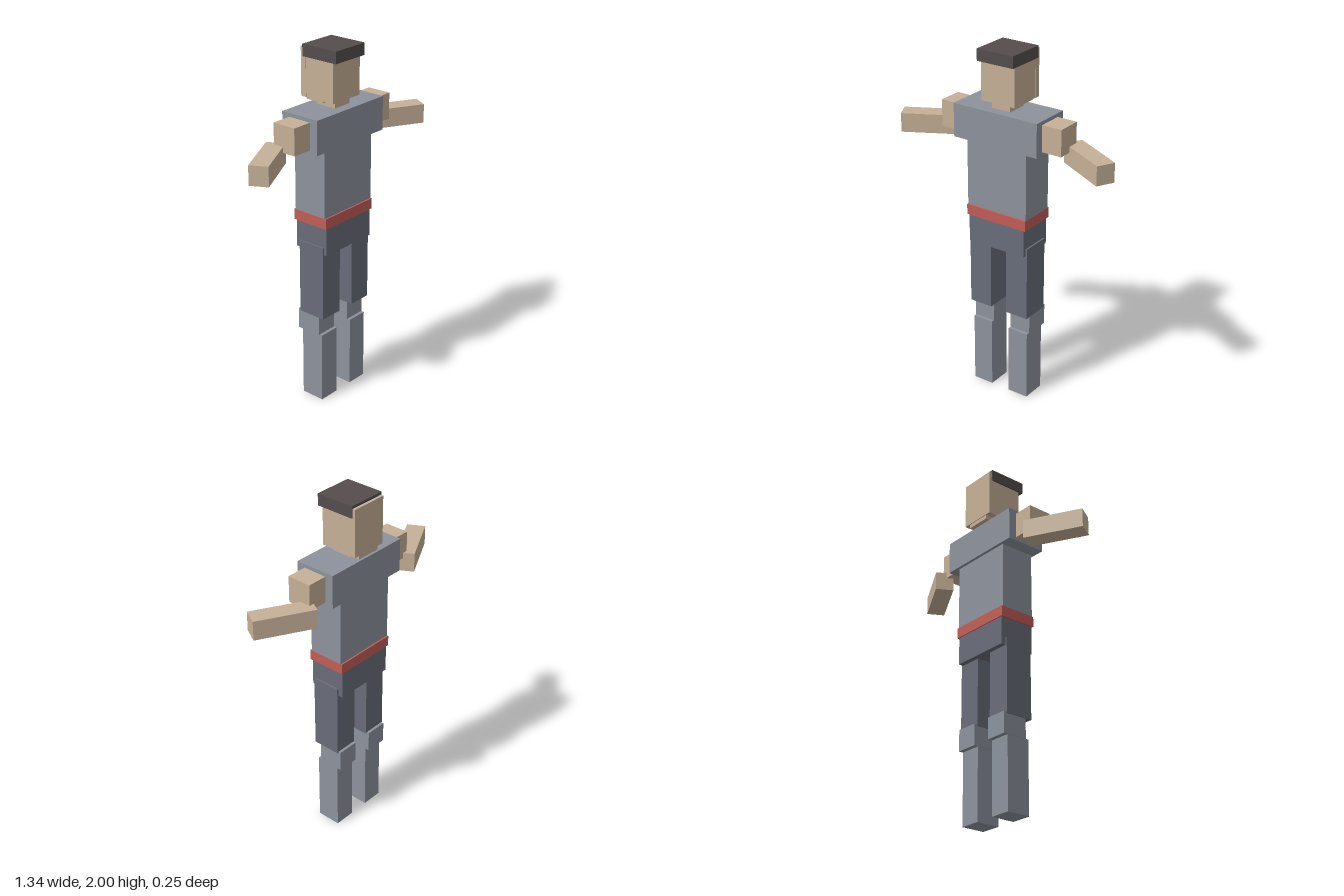
import * as THREE from 'three';

const material = (name, color) => {
  const m = new THREE.MeshStandardMaterial({ color });
  m.name = name;
  return m;
};

export function createModel() {
  const skin = material('skin', 0xc6b097);
  const shirt = material('blue grey cloth', 0x8c929d);
  const trousers = material('dark grey cloth', 0x696d79);
  const hair = material('dark brown', 0x554d4d);
  const red = material('belt red', 0xc25d55);

  const model = new THREE.Group();
  model.name = 'figure';

  // Box given by its x, y and z ranges
  const box = (name, mat, [x0, x1], [y0, y1], [z0, z1], parent = model) => {
    const mesh = new THREE.Mesh(new THREE.BoxGeometry(x1 - x0, y1 - y0, z1 - z0), mat);
    mesh.position.set((x0 + x1) / 2, (y0 + y1) / 2, (z0 + z1) / 2);
    mesh.name = name;
    parent.add(mesh);
    return mesh;
  };

  // Head
  box('cap', hair, [-0.112, 0.112], [1.935, 2], [-0.112, 0.112]);
  box('head', skin, [-0.104, 0.104], [1.72, 1.94], [-0.105, 0.088]);
  box('backOfHead', skin, [-0.106, 0.106], [1.72, 1.985], [-0.128, -0.095]);
  box('nape', skin, [-0.072, 0.072], [1.697, 1.73], [-0.124, -0.005]);
  box('neck', skin, [-0.058, 0.058], [1.67, 1.73], [-0.058, 0.06]);

  // Torso
  box('chest', shirt, [-0.262, 0.262], [1.493, 1.68], [-0.118, 0.118]);
  box('waist', shirt, [-0.188, 0.188], [1.08, 1.5], [-0.102, 0.102]);
  box('belt', red, [-0.189, 0.189], [1.058, 1.117], [-0.111, 0.111]);
  box('hips', trousers, [-0.178, 0.178], [0.9, 1.06], [-0.105, 0.106]);

  // Arms and legs, mirrored about x
  for (const [side, s] of [['left', 1], ['right', -1]]) {
    const span = (a, b) => (s > 0 ? [a, b] : [-b, -a]);

    const arm = new THREE.Group();
    arm.name = side + 'Arm';
    box('upperArm', skin, span(0.25, 0.378), [1.513, 1.66], [-0.07, 0.07], arm);
    const forearm = new THREE.Mesh(new THREE.BoxGeometry(0.331, 0.107, 0.102), skin);
    forearm.name = 'forearm';
    forearm.position.set(s * 0.5, 1.491, 0);
    forearm.rotation.y = -s * 0.497;
    arm.add(forearm);

    const leg = new THREE.Group();
    leg.name = side + 'Leg';
    box('thigh', trousers, span(0.05, 0.188), [0.517, 0.943], [-0.077, 0.088], leg);
    box('knee', shirt, span(0.056, 0.183), [0.405, 0.525], [-0.093, 0.053], leg);
    box('shin', shirt, span(0.058, 0.18), [0, 0.408], [-0.067, 0.072], leg);

    model.add(arm, leg);
  }
  return model;
}
